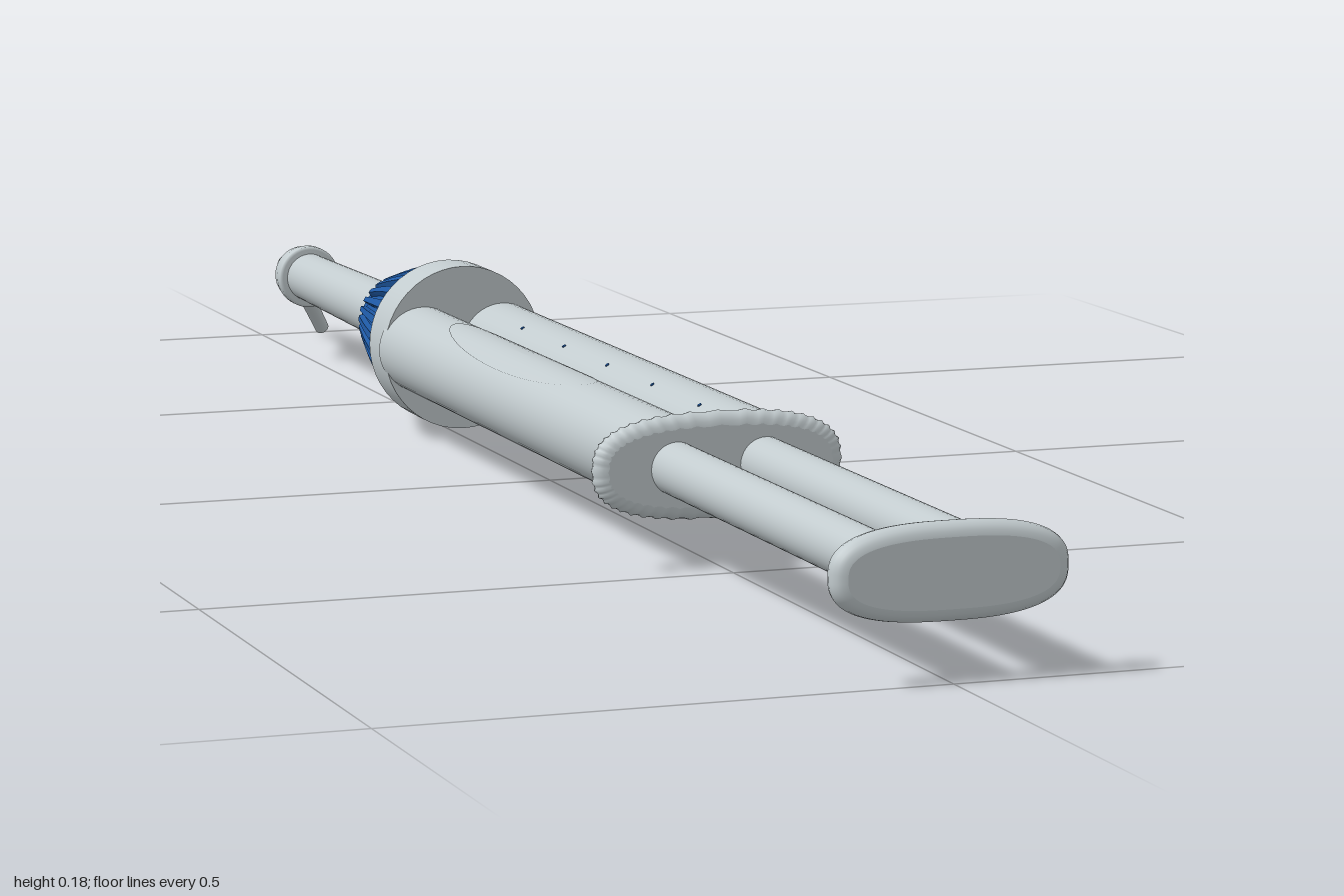
import * as THREE from 'three';

const AXIS = 0.093; // height of the long axis

export function createModel() {
  const grey = new THREE.MeshStandardMaterial({ color: 0xc2cbce });
  grey.name = 'pale grey plastic';
  const blue = new THREE.MeshStandardMaterial({ color: 0x1f5aa6 });
  blue.name = 'blue plastic';

  const model = new THREE.Group();
  model.name = 'dualSyringe';
  const body = new THREE.Group();
  body.name = 'body';
  body.position.y = AXIS;
  model.add(body);

  const add = (name, geometry, material) => {
    const mesh = new THREE.Mesh(geometry, material);
    mesh.name = name;
    body.add(mesh);
    return mesh;
  };

  // Cylinder along z from z0 to z1 (z0 < z1), radii at each end
  const rod = (name, z0, z1, r0, r1, x = 0, material = grey) => {
    const g = new THREE.CylinderGeometry(r1, r0, z1 - z0, 48);
    g.rotateX(Math.PI / 2);
    g.translate(x, 0, (z0 + z1) / 2);
    return add(name, g, material);
  };

  // Skin over closed cross-sections, ordered by rising z
  const loft = (rings, flat) => {
    const n = rings[0].length, pos = [], idx = [];
    rings.forEach((ring) => ring.forEach((p) => pos.push(...p)));
    for (let i = 0; i < rings.length - 1; i++) {
      for (let j = 0; j < n; j++) {
        const a = i * n + j, b = i * n + (j + 1) % n;
        idx.push(a, b, b + n, a, b + n, a + n);
      }
    }
    // End caps with their own vertices
    [0, rings.length - 1].forEach((k) => {
      const c = pos.length / 3;
      pos.push(0, 0, rings[k][0][2]);
      rings[k].forEach((p) => pos.push(...p));
      for (let j = 0; j < n; j++) {
        const a = c + 1 + j, b = c + 1 + (j + 1) % n;
        if (k === 0) idx.push(c, b, a);
        else idx.push(c, a, b);
      }
    });
    let g = new THREE.BufferGeometry();
    g.setAttribute('position', new THREE.Float32BufferAttribute(pos, 3));
    g.setIndex(idx);
    if (flat) g = g.toNonIndexed();
    g.computeVertexNormals();
    return g;
  };

  // Rounded oval plate with a soft rim and faint scallops
  const ovalPlate = (name, z0, z1, w, h, scallop) => {
    const rings = [];
    const steps = 8;
    for (let i = 0; i <= steps; i++) {
      const s = -Math.cos((i / steps) * Math.PI);
      const inset = 0.012 * (1 - Math.sqrt(Math.max(0, 1 - s * s)));
      const ring = [];
      for (let j = 0; j < 144; j++) {
        const t = (j / 144) * Math.PI * 2;
        const c = Math.cos(t), d = Math.sin(t), e = 2 / 2.7;
        const k = scallop * (1 - Math.cos(t * 48)) / 2 + inset;
        ring.push([
          Math.sign(c) * Math.abs(c) ** e * (w - k),
          Math.sign(d) * Math.abs(d) ** e * (h - k),
          z0 + (z1 - z0) * (s + 1) / 2,
        ]);
      }
      rings.push(ring);
    }
    return add(name, loft(rings, false), grey);
  };

  // Twin barrels and plungers
  for (const [side, s] of [['left', 1], ['right', -1]]) {
    rod(side + 'Barrel', -0.28, 0.455, 0.044, 0.044, s * 0.043);
    rod(side + 'Plunger', 0.45, 0.98, 0.0245, 0.0245, s * 0.043);
  }
  ovalPlate('fingerFlange', 0.447, 0.469, 0.121, 0.05, 0.002);
  ovalPlate('thumbPlate', 0.974, 1.0, 0.106, 0.042, 0);

  // Oval label wrapped onto the right barrel
  const label = new THREE.RingGeometry(0.001, 1, 48, 6);
  const lp = label.attributes.position;
  for (let i = 0; i < lp.count; i++) {
    const a = 1.67 + lp.getY(i) * 0.72;
    lp.setXYZ(i, -0.043 + 0.0445 * Math.cos(a), 0.0445 * Math.sin(a), 0.05 - 0.2 * lp.getX(i));
  }
  label.computeVertexNormals();
  add('ovalLabel', label, grey);

  // Tiny dose marks on the left barrel
  for (let i = 0; i < 5; i++) {
    const mark = new THREE.CylinderGeometry(0.002, 0.002, 0.002, 8);
    mark.rotateZ(0.55);
    mark.translate(0.02, 0.0375, -0.14 + i * 0.125);
    add('doseMark', mark, blue);
  }

  // Collar
  rod('collar', -0.322, -0.27, 0.084, 0.084);

  // Ribbed blue nut: toothed sections tapering to the nozzle
  const ribs = 28;
  const toothed = (z, rOut, rIn) => {
    const ring = [];
    for (let i = 0; i < ribs; i++) {
      [[0, rIn], [0.3, rIn], [0.42, rOut], [0.88, rOut]].forEach(([f, r]) => {
        const a = ((i + f) / ribs) * Math.PI * 2;
        ring.push([Math.cos(a) * r, Math.sin(a) * r, z]);
      });
    }
    return ring;
  };
  add('ribbedNut', loft([
    toothed(-0.485, 0.043, 0.039),
    toothed(-0.475, 0.048, 0.042),
    toothed(-0.40, 0.066, 0.06),
    toothed(-0.335, 0.08, 0.074),
    toothed(-0.32, 0.081, 0.076),
  ], true), blue);
  rod('nutLip', -0.498, -0.48, 0.037, 0.039, 0, blue);

  // Mixing tube and its end ring
  rod('mixingTube', -0.82, -0.49, 0.026, 0.03);
  const ringProfile = [[0, -0.845], [0.027, -0.845], [0.031, -0.84], [0.034, -0.822], [0.034, -0.812], [0.031, -0.809], [0, -0.809]]
    .map(([r, z]) => new THREE.Vector2(r, z));
  const endRing = new THREE.LatheGeometry(ringProfile, 40);
  endRing.rotateX(Math.PI / 2);
  add('endRing', endRing, grey);

  // Bent, tapering tip
  const path = new THREE.CatmullRomCurve3([
    [0, 0, -0.838], [0, 0.001, -0.87], [0.003, 0.001, -0.895], [0.013, -0.008, -0.917],
    [0.03, -0.03, -0.941], [0.05, -0.058, -0.968], [0.07, -0.0865, -0.995],
  ].map((p) => new THREE.Vector3(...p)));
  const segs = 40, sides = 20;
  const tip = new THREE.TubeGeometry(path, segs, 1, sides);
  const tp = tip.attributes.position, v = new THREE.Vector3();
  for (let i = 0; i <= segs; i++) {
    const u = i / segs, centre = path.getPointAt(u);
    const r = 0.008 + 0.013 * (1 - u) ** 2;
    for (let j = 0; j <= sides; j++) {
      const k = i * (sides + 1) + j;
      v.fromBufferAttribute(tp, k).sub(centre).multiplyScalar(r).add(centre);
      tp.setXYZ(k, v.x, v.y, v.z);
    }
  }
  add('bentTip', tip, grey);
  const tipEnd = add('tipEnd', new THREE.CircleGeometry(0.008, sides), grey);
  tipEnd.position.copy(path.getPointAt(1));
  tipEnd.quaternion.setFromUnitVectors(new THREE.Vector3(0, 0, 1), path.getTangentAt(1));

  return model;
}
